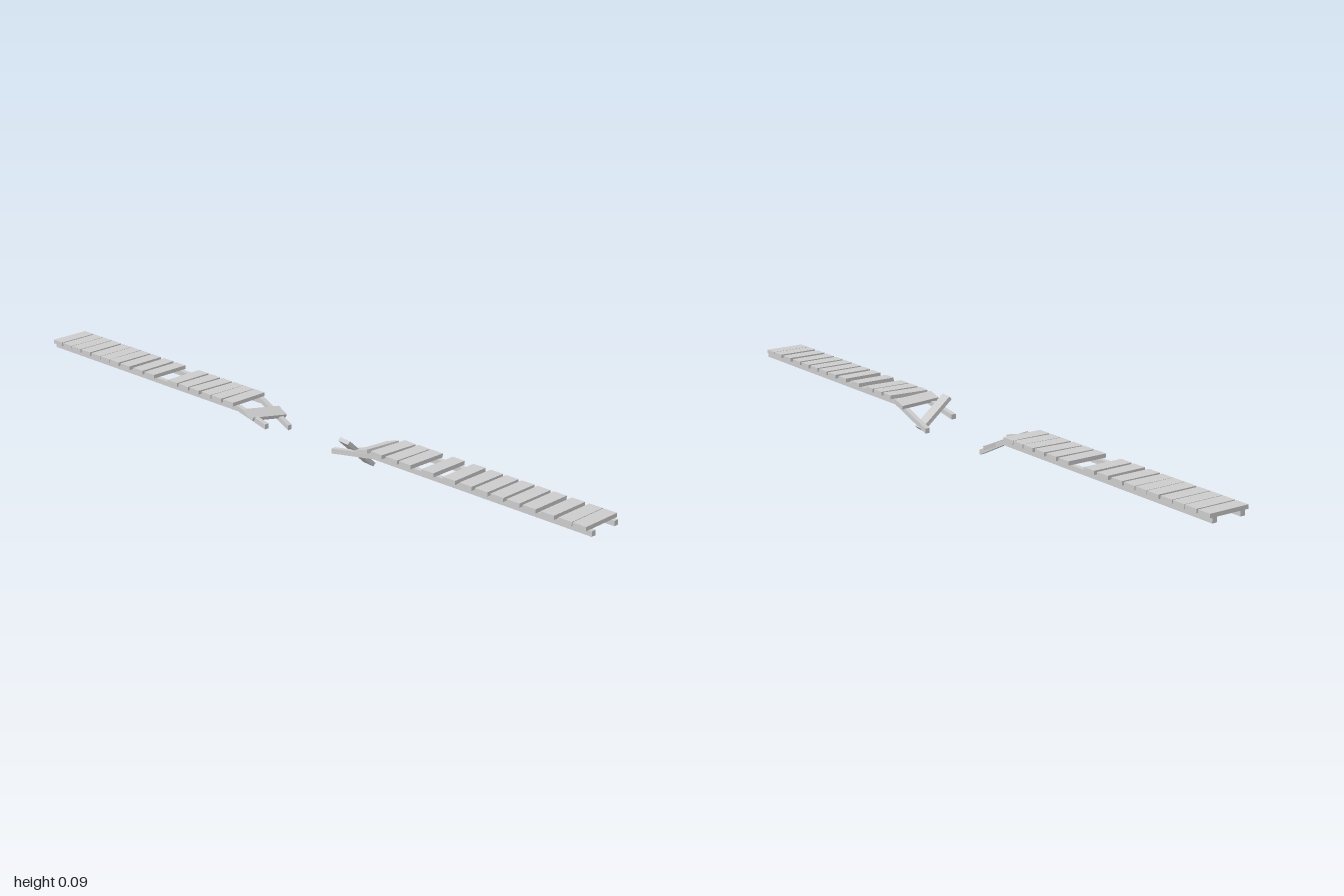
import * as THREE from 'three';

const material = new THREE.MeshStandardMaterial({ color: 0xcccccc, flatShading: true });
const RAIL = 0.014;      // square rail section
const RAIL_Y = 0.071;    // rail centre height on the level part
const PLANK = [0.12, 0.011, 0.04];

// Rail that runs level from zEnd to zBend, then droops to the broken tip
function makeRail(name, x, zEnd, zBend, zTip, yTip) {
  const h = RAIL / 2;
  const line = [[zEnd, RAIL_Y], [zBend, RAIL_Y], [zTip, yTip]];
  const shape = new THREE.Shape([
    ...line.map(([z, y]) => new THREE.Vector2(z, y - h)),
    ...line.reverse().map(([z, y]) => new THREE.Vector2(z, y + h)),
  ]);
  const geometry = new THREE.ExtrudeGeometry(shape, { depth: RAIL, bevelEnabled: false });
  geometry.translate(0, 0, -h).rotateY(-Math.PI / 2);
  const mesh = new THREE.Mesh(geometry, material);
  mesh.name = name;
  mesh.position.x = x;
  return mesh;
}

function makePlank(name, [x, y, z], [pitch, yaw, roll] = [0, 0, 0]) {
  const mesh = new THREE.Mesh(new THREE.BoxGeometry(...PLANK), material);
  mesh.name = name;
  mesh.position.set(x, y, z);
  mesh.rotation.set(pitch, yaw, roll, 'YXZ');
  return mesh;
}

// One half of the bridge: two rails and a row of [z, yaw] deck planks
function makeHalf(name, zEnd, zBend, zTip, planks) {
  const half = new THREE.Group();
  half.name = name;
  half.add(makeRail('rightRail', -0.046, zEnd, zBend, zTip, 0.046));
  half.add(makeRail('leftRail', 0.042, zEnd, zBend, zTip, 0.02));
  planks.forEach(([z, yaw = 0]) => {
    half.add(makePlank('deckPlank', [-0.003, 0.0835, z], [0, yaw, 0]));
  });
  return half;
}

export function createModel() {
  const model = new THREE.Group();
  model.name = 'brokenBridge';

  const back = makeHalf('backHalf', -1, -0.205, -0.1, [
    [-0.98], [-0.935], [-0.893], [-0.85], [-0.802], [-0.76], [-0.718, -0.02],
    [-0.67], [-0.615, 0.02], [-0.564], [-0.465], [-0.417, -0.03],
    [-0.37, -0.06], [-0.322, -0.05], [-0.28, -0.04], [-0.235],
  ]);
  // Loose plank lying on the drooping rails
  back.add(makePlank('loosePlank', [0.003, 0.057, -0.155], [0.38, -0.14, -0.17]));

  const front = makeHalf('frontHalf', 1, 0.3, 0.152, [
    [0.325, -0.08], [0.375, -0.04], [0.42, -0.03], [0.495], [0.565, 0.02],
    [0.62], [0.67], [0.72], [0.77], [0.82], [0.875], [0.928], [0.97],
  ]);
  // Sagging plank past the bend, and a fallen plank tipped on its end
  front.add(makePlank('saggingPlank', [-0.003, 0.075, 0.27], [-0.28, 0, -0.06]));
  front.add(makePlank('fallenPlank', [-0.018, 0.05, 0.21], [0, -0.12, -0.75]));

  model.add(back, front);
  return model;
}
